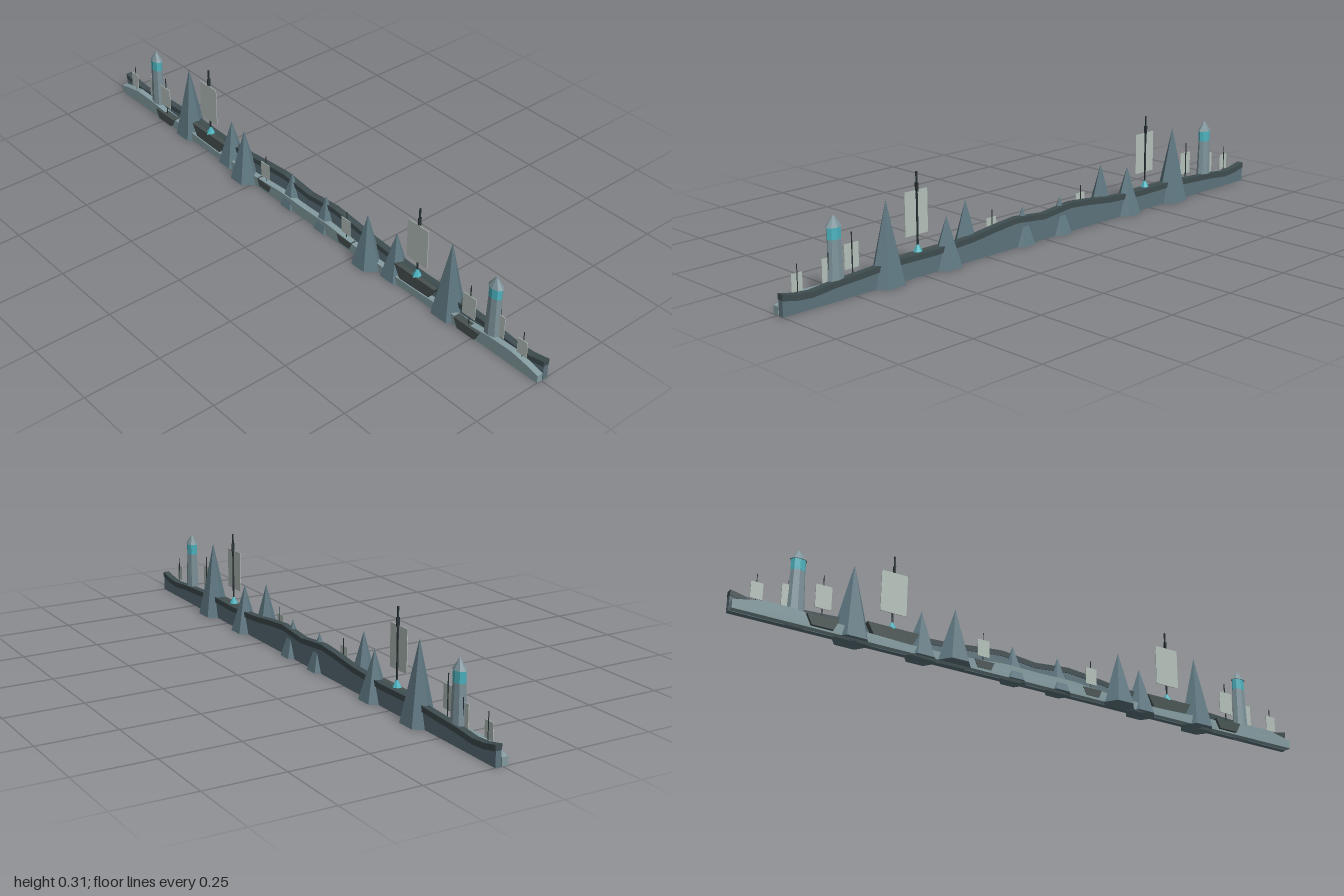
import * as THREE from 'three';

const mat = (name, color) => {
  const m = new THREE.MeshStandardMaterial({ color, flatShading: true, side: THREE.DoubleSide });
  m.name = name;
  return m;
};

export function createModel() {
  const M = {
    rock: mat('slate rock', 0x5f7882),
    wall: mat('sea wall', 0x5c727b),
    crest: mat('dark crest', 0x3f4d50),
    foam: mat('pale wave', 0x839ba0),
    stone: mat('tower stone', 0x7e949b),
    lamp: mat('cyan lamp', 0x4db4c0),
    sail: mat('sail cloth', 0xb4c0ba),
    hull: mat('hull', 0x465250),
    mast: mat('mast', 0x2b3437),
  };
  const root = new THREE.Group();
  root.name = 'coastalFrieze';

  const add = (parent, name, geo, material, x = 0, y = 0, z = 0) => {
    const mesh = new THREE.Mesh(geo, material);
    mesh.name = name;
    mesh.position.set(x, y, z);
    parent.add(mesh);
    return mesh;
  };

  // Symmetric band between two wavy heights, extruded along z
  const half = [0, 0.12, 0.2, 0.3, 0.45, 0.6, 0.72, 0.82, 0.9, 0.95, 1];
  const band = (name, top, bottom, z0, z1, material) => {
    const both = (h) => [
      ...half.map((x, i) => [-x, h[i]]).reverse(),
      ...half.slice(1).map((x, i) => [x, h[i + 1]]),
    ];
    const outline = [...both(top), ...both(bottom).reverse()];
    const shape = new THREE.Shape(outline.map(([x, y]) => new THREE.Vector2(x, y)));
    const geo = new THREE.ExtrudeGeometry(shape, { depth: z1 - z0, bevelEnabled: false });
    add(root, name, geo, material, 0, 0, z0);
  };
  const ridge = [0.083, 0.095, 0.088, 0.076, 0.068, 0.07, 0.063, 0.058, 0.05, 0.054, 0.065];
  const under = ridge.map((y) => y - 0.018);
  const ground = half.map(() => 0);
  band('backWave', under, ground, -0.024, -0.006, M.wall);
  band('backWaveCrest', ridge, under, -0.026, -0.004, M.crest);
  const swell = [0.04, 0.042, 0.036, 0.028, 0.025, 0.03, 0.036, 0.046, 0.047, 0.038, 0.026];
  band('frontWave', swell, ground, -0.003, 0.017, M.foam);

  // Six-sided sea stack, squashed in depth
  const peak = (parent, x, z, r, h) => {
    const geo = new THREE.ConeGeometry(r, h, 6);
    geo.rotateY(Math.PI / 6);
    geo.scale(1, 1, 0.77);
    add(parent, 'rockPeak', geo, M.rock, x, h / 2, z);
  };

  // Lighthouse: shaft, lamp room, pointed cap
  const lighthouse = (parent, x) => {
    const g = new THREE.Group();
    g.name = 'lighthouse';
    g.position.set(x, 0, -0.004);
    g.scale.z = 0.67;
    add(g, 'shaft', new THREE.CylinderGeometry(0.023, 0.03, 0.175, 8), M.stone, 0, 0.0875);
    add(g, 'lampRoom', new THREE.CylinderGeometry(0.023, 0.023, 0.035, 8), M.lamp, 0, 0.1925);
    add(g, 'cap', new THREE.ConeGeometry(0.027, 0.035, 8), M.stone, 0, 0.2275);
    parent.add(g);
  };

  // Sailing boat: tapered hull, mast and one square sail
  const boat = (parent, x, z, s) => {
    const g = new THREE.Group();
    g.name = 'boat';
    g.position.set(x, 0, z);
    const hull = new THREE.Shape([
      [-s.len / 2, s.deck], [-s.len * 0.34, s.keel], [s.len * 0.34, s.keel], [s.len / 2, s.deck],
    ].map(([px, py]) => new THREE.Vector2(px, py)));
    const hullGeo = new THREE.ExtrudeGeometry(hull, { depth: s.beam, bevelEnabled: false });
    add(g, 'hull', hullGeo, M.hull, 0, 0, -s.beam / 2);
    const t = s.w * 0.05;
    add(g, 'mast', new THREE.BoxGeometry(t, s.top - s.deck, t), M.mast, 0, (s.top + s.deck) / 2);
    add(g, 'sail', new THREE.BoxGeometry(s.w, s.y1 - s.y0, 0.002), M.sail, 0, (s.y0 + s.y1) / 2, t / 2 + 0.002);
    parent.add(g);
    return g;
  };

  for (const side of [-1, 1]) {
    const wing = new THREE.Group();
    wing.name = side > 0 ? 'leftWing' : 'rightWing';
    root.add(wing);
    peak(wing, side * 0.625, -0.011, 0.063, 0.25);
    peak(wing, side * 0.398, -0.011, 0.056, 0.157);
    peak(wing, side * 0.298, 0.015, 0.057, 0.18);
    peak(wing, side * 0.082, -0.008, 0.048, 0.12);
    lighthouse(wing, side * 0.805);

    // Large ship with a masthead pennant and a bow beacon
    const ship = boat(wing, side * 0.5, 0,
      { len: 0.17, keel: 0.02, deck: 0.068, beam: 0.026, w: 0.086, y0: 0.118, y1: 0.251, top: 0.308 });
    add(ship, 'pennant', new THREE.BoxGeometry(0.005, 0.027, 0.01), M.mast, 0, 0.262);
    add(ship, 'beacon', new THREE.ConeGeometry(0.016, 0.03, 6), M.lamp, 0, 0.08);

    // Small boats
    boat(wing, side * 0.73, 0.014,
      { len: 0.1, keel: 0.006, deck: 0.038, beam: 0.024, w: 0.051, y0: 0.067, y1: 0.141, top: 0.175 });
    boat(wing, side * 0.928, 0.004,
      { len: 0.06, keel: 0.01, deck: 0.034, beam: 0.012, w: 0.037, y0: 0.05, y1: 0.102, top: 0.13 });
    boat(wing, side * 0.196, 0.008,
      { len: 0.07, keel: 0.008, deck: 0.034, beam: 0.02, w: 0.04, y0: 0.05, y1: 0.105, top: 0.13 });
    boat(wing, side * 0.829, -0.006,
      { len: 0.06, keel: 0.01, deck: 0.034, beam: 0.012, w: 0.042, y0: 0.05, y1: 0.125, top: 0.14 });
  }
  return root;
}
